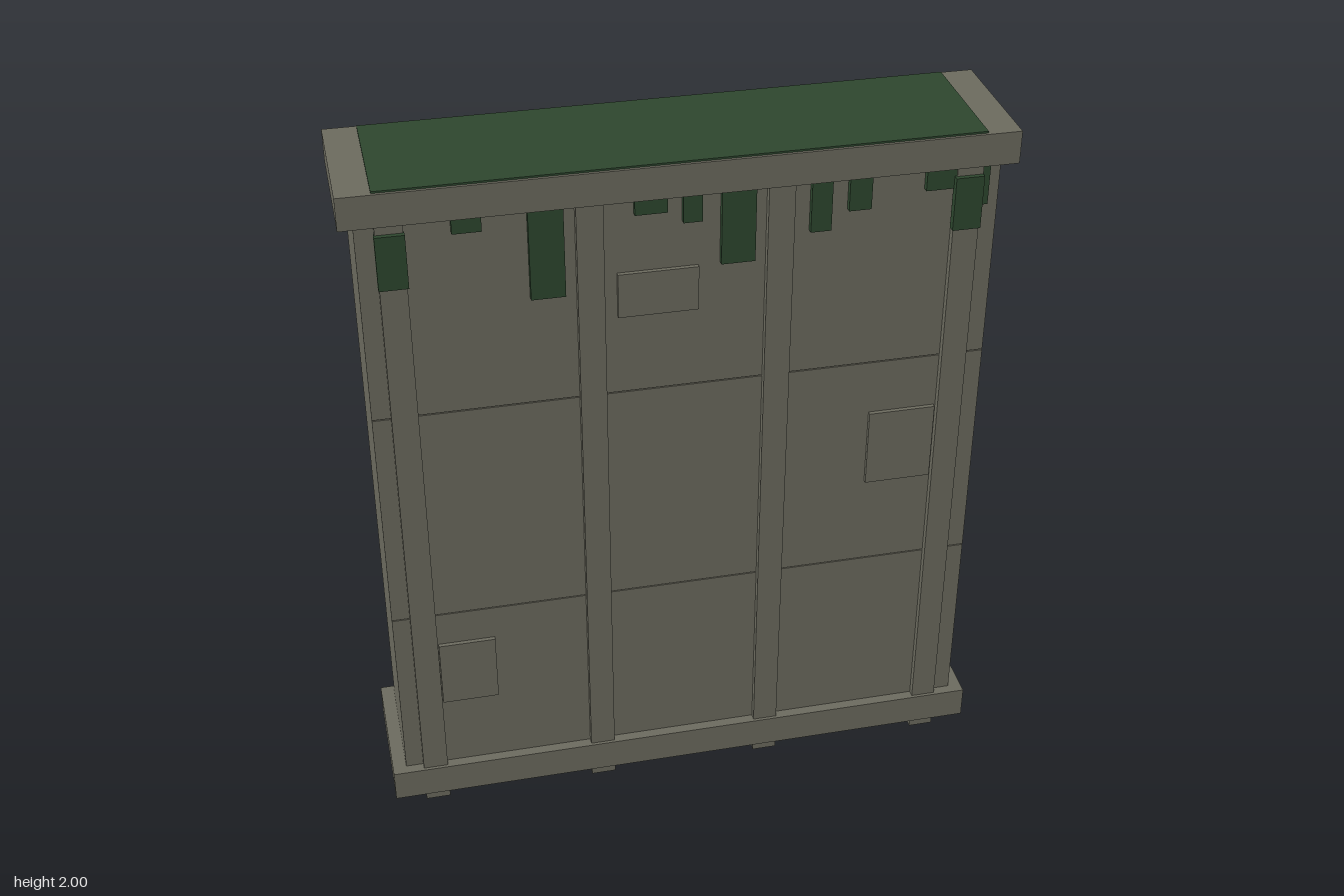
import * as THREE from 'three';

export function createModel() {
  const model = new THREE.Group();
  const stone = new THREE.MeshStandardMaterial({ color: 0x6b6a5e });
  stone.name = 'weathered stone';
  const moss = new THREE.MeshStandardMaterial({ color: 0x2d462e });
  moss.name = 'dark moss';

  // Box given by its lower and upper limits on each axis
  function box(parent, name, material, x0, x1, y0, y1, z0, z1) {
    const mesh = new THREE.Mesh(new THREE.BoxGeometry(x1 - x0, y1 - y0, z1 - z0), material);
    mesh.position.set((x0 + x1) / 2, (y0 + y1) / 2, (z0 + z1) / 2);
    mesh.name = name;
    parent.add(mesh);
  }

  // Wall core with hairline joints between three courses on both faces
  const face = 0.168, joint = 0.0015;
  box(model, 'wallCore', stone, -0.833, 0.833, 0.08, 1.95, -0.16, 0.16);
  const levels = [0.08, 0.667, 1.333, 1.95];
  for (let i = 0; i < 3; i++) {
    for (const s of [-1, 1]) {
      const z = [0.16 * s, face * s].sort((a, b) => a - b);
      box(model, 'wallCourse', stone, -0.833, 0.833,
        levels[i] + joint, levels[i + 1] - joint, z[0], z[1]);
    }
  }

  // Base and top bands
  box(model, 'baseBand', stone, -0.872, 0.872, 0.027, 0.122, -0.197, 0.197);
  box(model, 'topBand', stone, -0.872, 0.872, 1.905, 1.995, -0.197, 0.197);

  // Pillars run through the wall and end in small feet
  for (const x of [-0.748, -0.25, 0.246, 0.745]) {
    box(model, 'pillar', stone, x - 0.035, x + 0.035, 0, 1.99, -0.188, 0.188);
  }

  // Moss layer on top
  box(model, 'topMoss', moss, -0.783, 0.783, 1.99, 2, -0.189, 0.189);

  // Hanging moss strips: left edge, right edge, lower end
  const frontStrips = [
    [-0.595, -0.52, 1.86], [-0.405, -0.315, 1.65], [-0.135, -0.05, 1.86],
    [-0.01, 0.04, 1.825], [0.09, 0.18, 1.695], [0.325, 0.38, 1.76],
    [0.425, 0.485, 1.81], [0.63, 0.71, 1.845], [0.73, 0.8, 1.79],
  ];
  const backStrips = [
    [-0.627, -0.56, 1.785], [-0.535, -0.475, 1.84], [-0.46, -0.355, 1.67],
    [-0.33, -0.26, 1.86], [-0.125, -0.025, 1.705], [-0.015, 0.09, 1.685],
    [0.115, 0.2, 1.75], [0.25, 0.305, 1.72], [0.435, 0.5, 1.855],
    [0.525, 0.64, 1.85], [0.655, 0.71, 1.8],
  ];
  // Raised stone plates: left, right, bottom, top
  const plates = [
    [-0.71, -0.55, 0.355, 0.562], [-0.18, 0.033, 1.567, 1.693], [0.518, 0.705, 0.942, 1.172],
  ];

  // One face's trim; the back is the same layout turned half round
  function trim(name, strips) {
    const group = new THREE.Group();
    group.name = name;
    for (const [x0, x1, y0, y1] of plates) {
      box(group, 'raisedPlate', stone, x0, x1, y0, y1, 0.16, 0.18);
    }
    for (const [x0, x1, y0] of strips) {
      box(group, 'hangingMoss', moss, x0, x1, y0, 1.91, 0.16, 0.185);
    }
    for (const x of [-0.748, 0.742]) {
      box(group, 'pillarMoss', moss, x - 0.038, x + 0.038, 1.73, 1.88, 0.18, 0.201);
    }
    model.add(group);
    return group;
  }
  trim('frontTrim', frontStrips);
  trim('backTrim', backStrips).rotation.y = Math.PI;

  return model;
}
